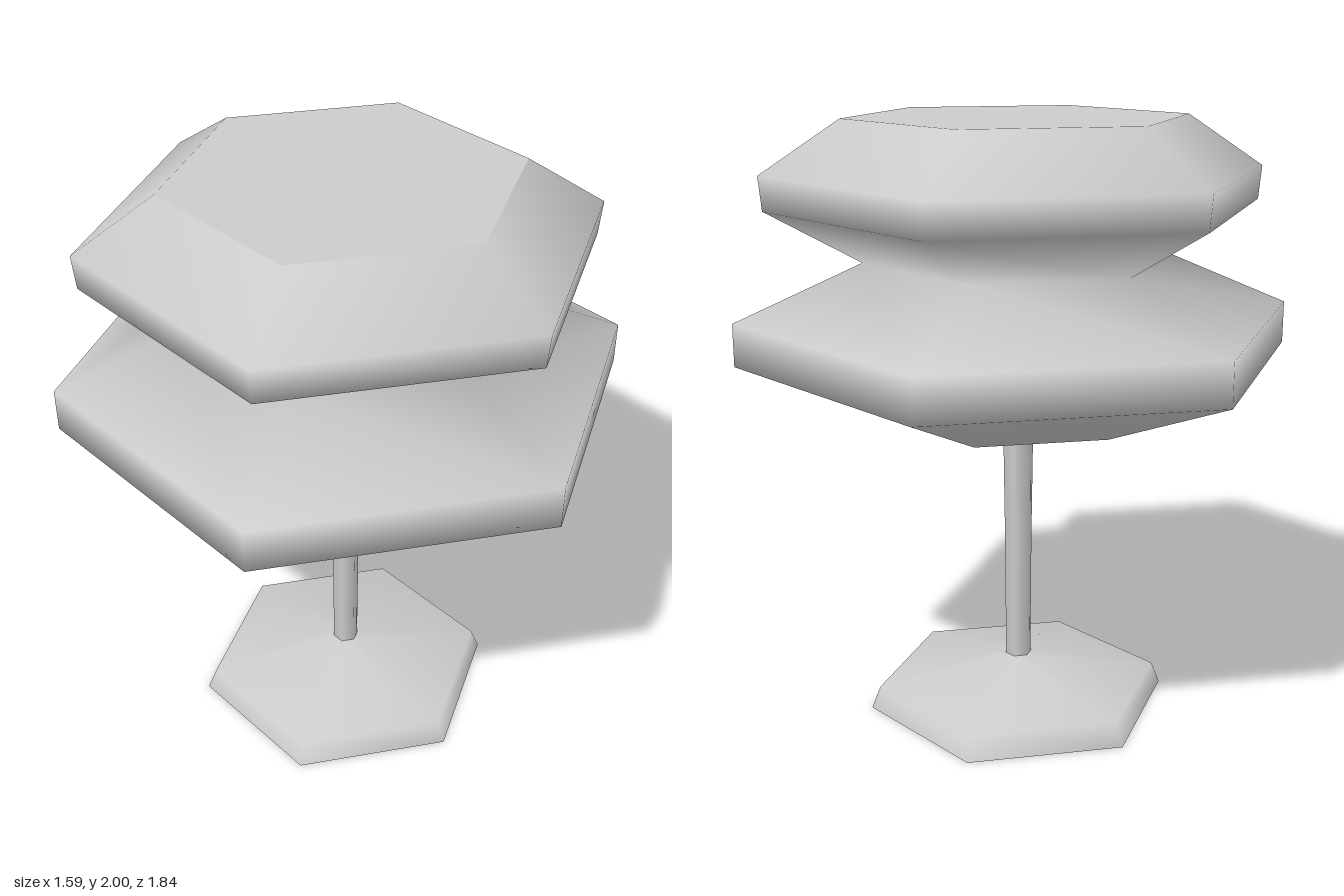
import * as THREE from 'three';

const SIDES = 6;
const material = new THREE.MeshStandardMaterial({ color: 0xcccccc, side: THREE.DoubleSide });

// Six-sided turned part from [radius, height] pairs, listed bottom to top
function turned(name, profile) {
  const points = profile.map(([r, y]) => new THREE.Vector2(r, y));
  const mesh = new THREE.Mesh(new THREE.LatheGeometry(points, SIDES), material);
  mesh.name = name;
  return mesh;
}

// Flat hexagon closing a turned part, facing up or down
function cap(name, radius, y, facing) {
  const geometry = new THREE.CircleGeometry(radius, SIDES, Math.PI / 2);
  geometry.rotateX(-facing * Math.PI / 2);
  const mesh = new THREE.Mesh(geometry, material);
  mesh.position.y = y;
  mesh.name = name;
  return mesh;
}

export function createModel() {
  const lamp = new THREE.Group();
  lamp.name = 'tableLamp';

  // Foot: short bevelled rim and a shallow cone up to the stem
  lamp.add(turned('foot', [[0.515, 0], [0.485, 0.075], [0.045, 0.165]]));
  lamp.add(cap('footUnderside', 0.515, 0, -1));

  // Stem, slightly thicker towards the top
  lamp.add(turned('stem', [[0.043, 0.16], [0.046, 0.6], [0.052, 1.05]]));

  // Socket collar and small bulb inside the shade
  lamp.add(turned('socket', [[0.05, 1.04], [0.105, 1.08], [0.105, 1.1], [0.075, 1.15], [0.085, 1.2]]));
  lamp.add(turned('bulb', [[0.085, 1.2], [0.13, 1.28], [0.13, 1.35], [0.08, 1.42], [0, 1.44]]));

  // Two-tiered shade, open below
  lamp.add(turned('shade', [
    [0.425, 1.03], [0.92, 1.23], [0.92, 1.37], [0.505, 1.55],
    [0.81, 1.72], [0.82, 1.83], [0.562, 2],
  ]));
  lamp.add(cap('shadeTop', 0.562, 2, 1));

  return lamp;
}
